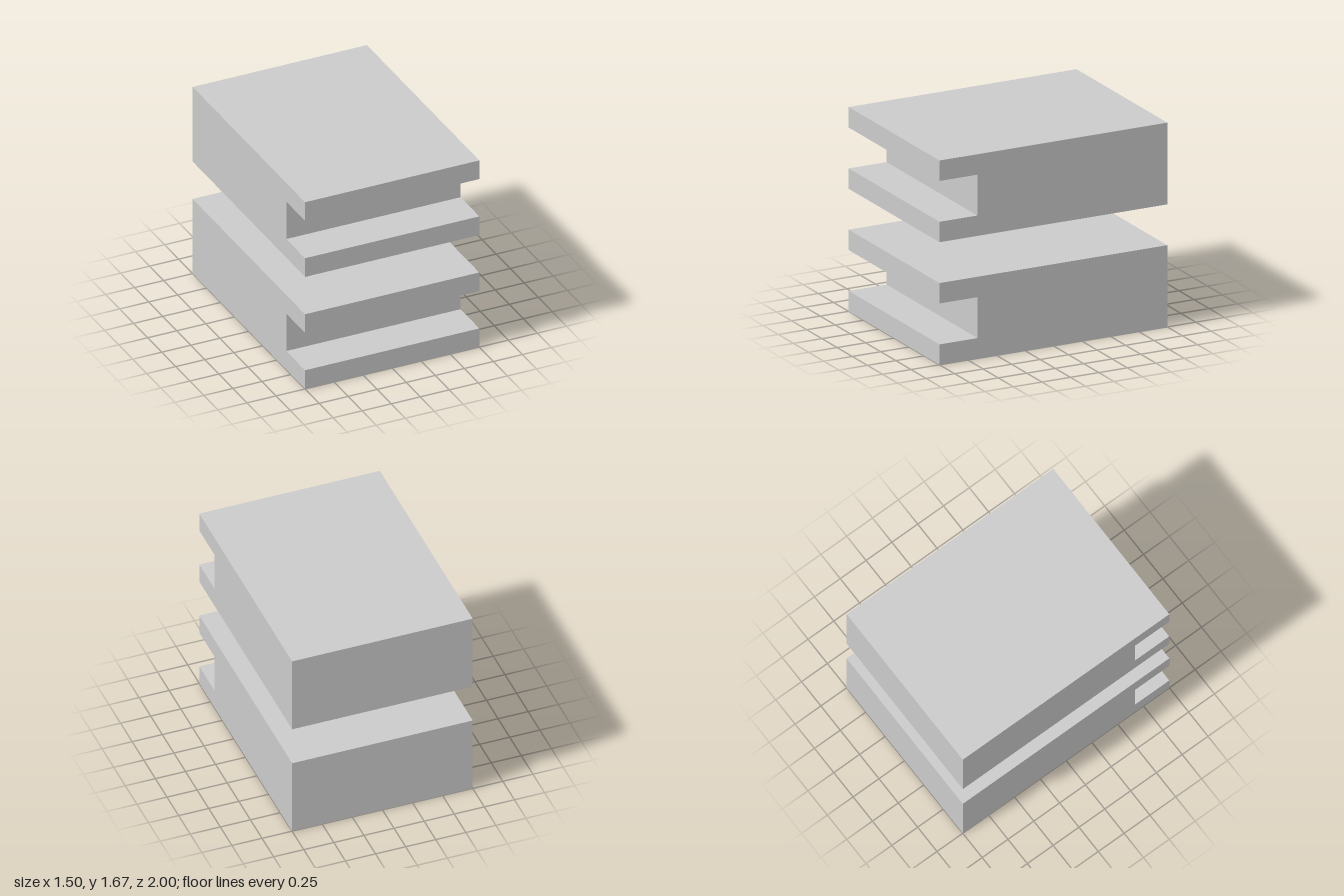
import * as THREE from 'three';

const WIDTH = 1.5;
const HEIGHT = 2 / 3;
const LIP = 1 / 6; // thickness of the lips above and below the groove
const GROOVE_Z = 2 / 3; // back wall of the groove

export function createModel() {
  const group = new THREE.Group();
  group.name = 'groovedBlocks';
  const material = new THREE.MeshStandardMaterial({ color: 0xcccccc, flatShading: true });

  // Side profile (z, y): a block with a square groove along its front
  const profile = new THREE.Shape([
    [-1, 0], [1, 0], [1, LIP], [GROOVE_Z, LIP],
    [GROOVE_Z, HEIGHT - LIP], [1, HEIGHT - LIP], [1, HEIGHT], [-1, HEIGHT],
  ].map(([z, y]) => new THREE.Vector2(z, y)));

  // Extrude across the width, then turn the profile to face +z
  const geometry = new THREE.ExtrudeGeometry(profile, { depth: WIDTH, bevelEnabled: false });
  geometry.translate(0, 0, -WIDTH / 2).rotateY(-Math.PI / 2);

  // Two identical blocks, one floating above the other
  for (const [name, y] of [['lowerBlock', 0], ['upperBlock', 1]]) {
    const block = new THREE.Mesh(geometry, material);
    block.name = name;
    block.position.y = y;
    group.add(block);
  }
  return group;
}
